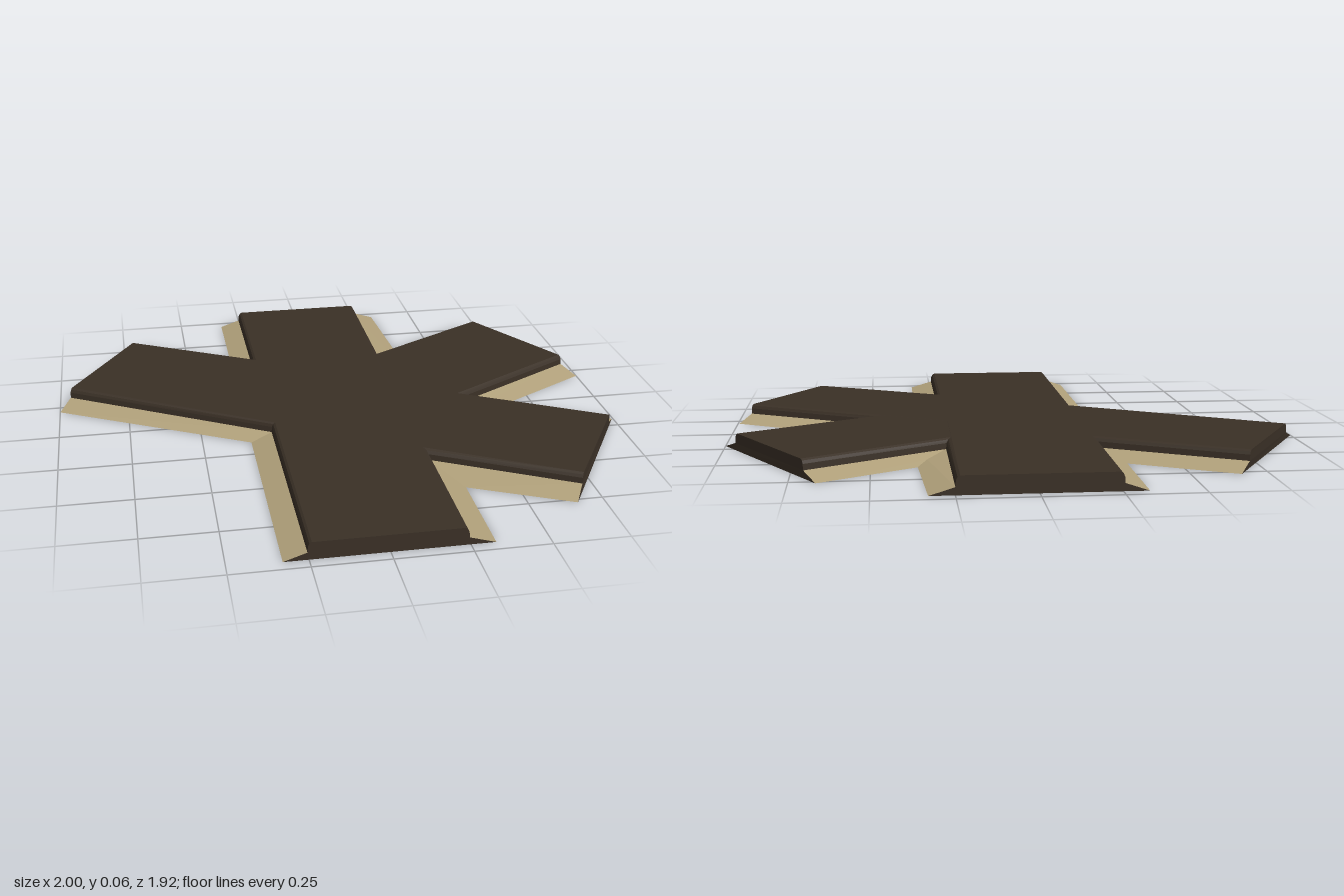
import * as THREE from 'three';

const roadMat = new THREE.MeshStandardMaterial({ name: 'dark road', color: 0x3a3026, side: THREE.DoubleSide });
const sandMat = new THREE.MeshStandardMaterial({ name: 'sandy shoulder', color: 0xb0a07a, side: THREE.DoubleSide });

// Edge profile as [share of the way from outer to inner edge, height]
const SHOULDER = [[0, 0], [1, 0.025]];
const KERB = [[1, 0.025], [1.02, 0.045], [1.08, 0.055], [1.18, 0.06]];
const CAP = [...SHOULDER, ...KERB.slice(1)];

// One point of an edge run at a given profile step
const at = (run, i, [t, y]) => {
  const [ox, oz] = run.outer[i], [ix, iz] = run.inner[i];
  return [ox + (ix - ox) * t, y, oz + (iz - oz) * t];
};

function addQuad(out, a, b, c, d) {
  out.push(...a, ...b, ...c, ...a, ...c, ...d);
}

function meshFrom(name, positions, material) {
  const g = new THREE.BufferGeometry();
  g.setAttribute('position', new THREE.Float32BufferAttribute(positions, 3));
  g.computeVertexNormals();
  const mesh = new THREE.Mesh(g, material);
  mesh.name = name;
  return mesh;
}

// Sweep a profile along all edge runs
function sweep(name, runs, profile, material) {
  const out = [];
  for (const run of runs)
    for (let i = 0; i < run.outer.length - 1; i++)
      for (let k = 0; k < profile.length - 1; k++)
        addQuad(out, at(run, i, profile[k]), at(run, i + 1, profile[k]),
          at(run, i + 1, profile[k + 1]), at(run, i, profile[k + 1]));
  return meshFrom(name, out, material);
}

// Close the arm ends between the end of one run and the start of the next
function endCaps(runs, count) {
  const out = [];
  for (let r = 0; r < count; r++) {
    const a = runs[r], b = runs[(r + 1) % runs.length], last = a.outer.length - 1;
    for (let k = 0; k < CAP.length - 1; k++)
      addQuad(out, at(a, last, CAP[k]), at(b, 0, CAP[k]), at(b, 0, CAP[k + 1]), at(a, last, CAP[k + 1]));
  }
  return meshFrom('roadEnds', out, roadMat);
}

// Flat driving surface enclosed by the kerbs
function surface(runs) {
  const rim = KERB[KERB.length - 1];
  const pts = runs.flatMap(run => run.outer.map((_, i) => {
    const [x, , z] = at(run, i, rim);
    return new THREE.Vector2(x, -z);
  }));
  const g = new THREE.ShapeGeometry(new THREE.Shape(pts));
  g.rotateX(-Math.PI / 2).translate(0, rim[1], 0);
  const mesh = new THREE.Mesh(g, roadMat);
  mesh.name = 'roadSurface';
  return mesh;
}

function roadPiece(name, runs, capCount) {
  const group = new THREE.Group();
  group.name = name;
  group.add(
    sweep('shoulders', runs, SHOULDER, sandMat),
    sweep('roadSides', runs, KERB, roadMat),
    endCaps(runs, capCount),
    surface(runs));
  return group;
}

export function createModel() {
  const model = new THREE.Group();
  model.name = 'roadJunction';

  // Four-way junction: edges run counterclockwise from the front arm
  model.add(roadPiece('mainJunction', [
    { outer: [[0.33, 0.96], [0.33, 0.61], [0.66, 0.77]], inner: [[0.245, 0.96], [0.245, 0.445], [0.7, 0.695]] },
    { outer: [[0.995, 0.2], [0.37, -0.17], [0.33, -0.96]], inner: [[0.955, 0.27], [0.25, -0.13], [0.25, -0.96]] },
    { outer: [[-0.33, -0.96], [-0.33, -0.6], [-0.66, -0.78]], inner: [[-0.255, -0.96], [-0.255, -0.46], [-0.705, -0.71]] },
    { outer: [[-1, -0.21], [-0.33, 0.16], [-0.33, 0.96]], inner: [[-0.96, -0.28], [-0.255, 0.14], [-0.255, 0.96]] },
  ], 4));

  // Fifth arm, running from the centre through the main junction
  const arm = roadPiece('sideRoad', [
    { outer: [[0.165, 0.286], [1, -0.196]], inner: [[0.125, 0.217], [0.958, -0.266]] },
    { outer: [[0.666, -0.77], [-0.165, -0.286]], inner: [[0.706, -0.7], [-0.125, -0.217]] },
  ], 1);
  arm.position.y = -0.0004;
  model.add(arm);
  return model;
}
